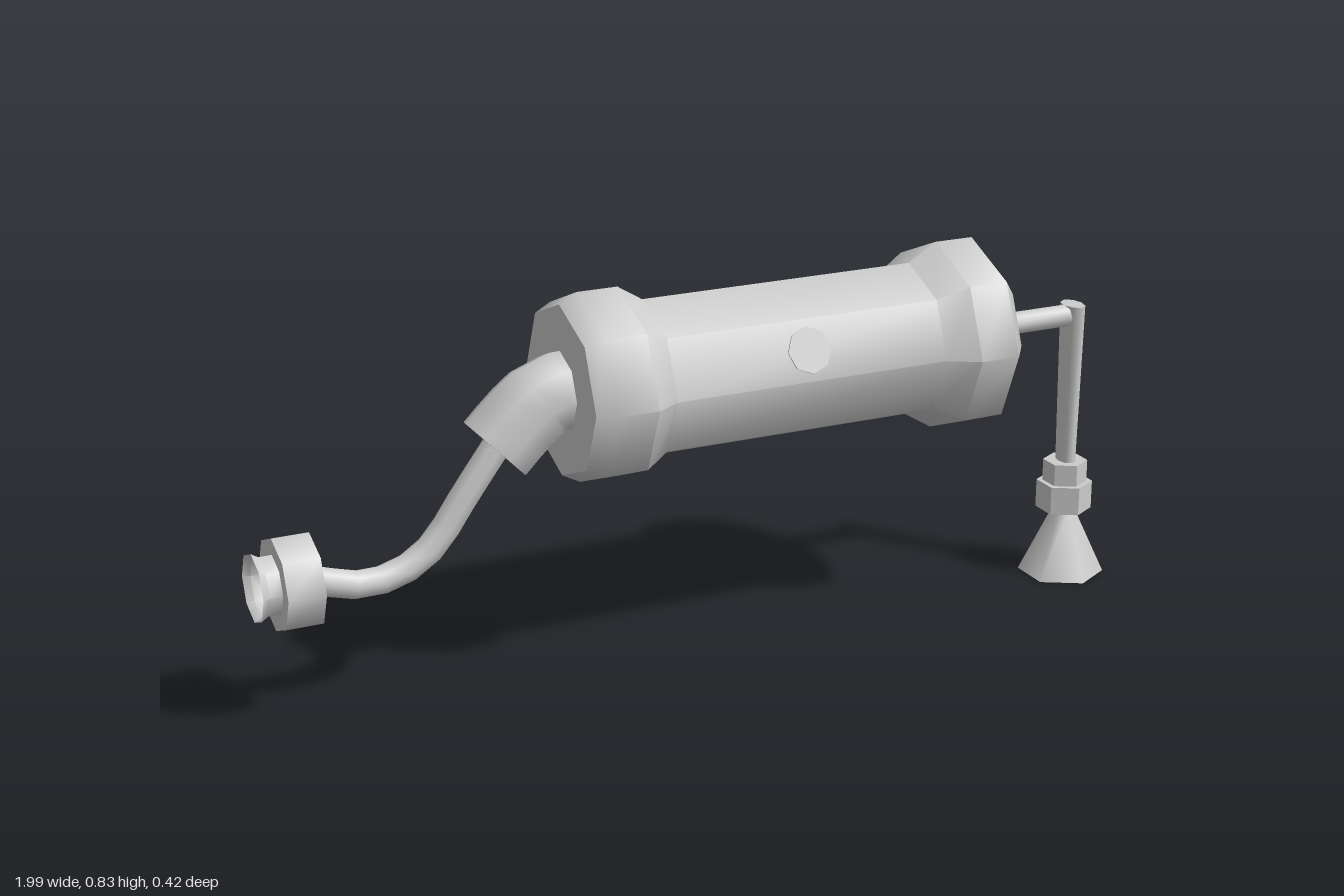
import * as THREE from 'three';
import { toCreasedNormals } from 'three/addons/utils/BufferGeometryUtils.js';

const material = new THREE.MeshStandardMaterial({ color: 0xcccccc, side: THREE.DoubleSide });
const AXIS_Y = 0.615;

export function createModel() {
  const group = new THREE.Group();

  const add = (name, geometry, x = 0, y = 0, z = 0, crease = 0.9) => {
    const mesh = new THREE.Mesh(toCreasedNormals(geometry, crease), material);
    mesh.name = name;
    mesh.position.set(x, y, z);
    group.add(mesh);
    return mesh;
  };

  // Turned part along x from [x, radius] pairs
  const turnedX = (name, profile, y, sides = 8) => {
    const points = profile.map(([x, r]) => new THREE.Vector2(r, x));
    return add(name, new THREE.LatheGeometry(points, sides).rotateZ(-Math.PI / 2), 0, y);
  };

  // Bent pipe through [x, y] points
  const pipe = (name, path, radius, segments) => {
    const curve = new THREE.CatmullRomCurve3(path.map(([x, y]) => new THREE.Vector3(x, y, 0)));
    add(name, new THREE.TubeGeometry(curve, segments, radius, 8), 0, 0, 0, 1);
    return curve;
  };

  // Main canister with a swollen band at each end
  turnedX('canister', [
    [-0.33, 0], [-0.33, 0.185], [-0.29, 0.206], [-0.2, 0.206], [-0.145, 0.172],
    [0.485, 0.172], [0.55, 0.211], [0.64, 0.211], [0.685, 0.148], [0.685, 0],
  ], AXIS_Y);

  // Round plug lying on the upper front facet
  const tilt = Math.PI / 8;
  const plug = add('sidePlug', new THREE.CylinderGeometry(0.05, 0.05, 0.02, 8).rotateX(Math.PI / 2),
    0.168, AXIS_Y + Math.sin(tilt) * 0.152, Math.cos(tilt) * 0.152);
  plug.rotation.x = -tilt;

  // Thick elbow leaving the left end, with a closed mouth
  const elbow = pipe('elbow', [[-0.3, 0.615], [-0.36, 0.61], [-0.415, 0.573], [-0.478, 0.512]], 0.087, 5);
  const mouth = add('elbowMouth', new THREE.CircleGeometry(0.087, 8));
  mouth.position.copy(elbow.getPoint(1));
  mouth.lookAt(mouth.position.clone().add(elbow.getTangent(1)));

  // Thin inlet pipe and its coupling
  pipe('inletPipe', [
    [-0.45, 0.55], [-0.54, 0.43], [-0.622, 0.32], [-0.685, 0.28], [-0.77, 0.265], [-0.9, 0.3],
  ], 0.031, 10);
  turnedX('inletCollar', [[-0.957, 0], [-0.957, 0.1], [-0.878, 0.1], [-0.878, 0]], 0.297);
  turnedX('inletRim', [[-1, 0.074], [-0.985, 0.065], [-0.955, 0.065]], 0.297);

  // Outlet pipe: straight out, then down
  turnedX('outletPipe', [[0.67, 0.026], [0.925, 0.026], [0.925, 0]], AXIS_Y);
  const drop = add('dropPipe', new THREE.CylinderGeometry(0.036, 0.029, 0.38, 8), 0.91, 0.45);
  drop.scale.x = 0.65;

  // Hexagonal collars and open horn at the foot
  add('upperCollar', new THREE.CylinderGeometry(0.05, 0.05, 0.05, 6), 0.91, 0.245);
  add('lowerCollar', new THREE.CylinderGeometry(0.063, 0.063, 0.065, 6), 0.91, 0.1875);
  add('horn', new THREE.CylinderGeometry(0.024, 0.097, 0.155, 6, 1, true), 0.91, 0.0775, 0, 1.2);

  return group;
}
